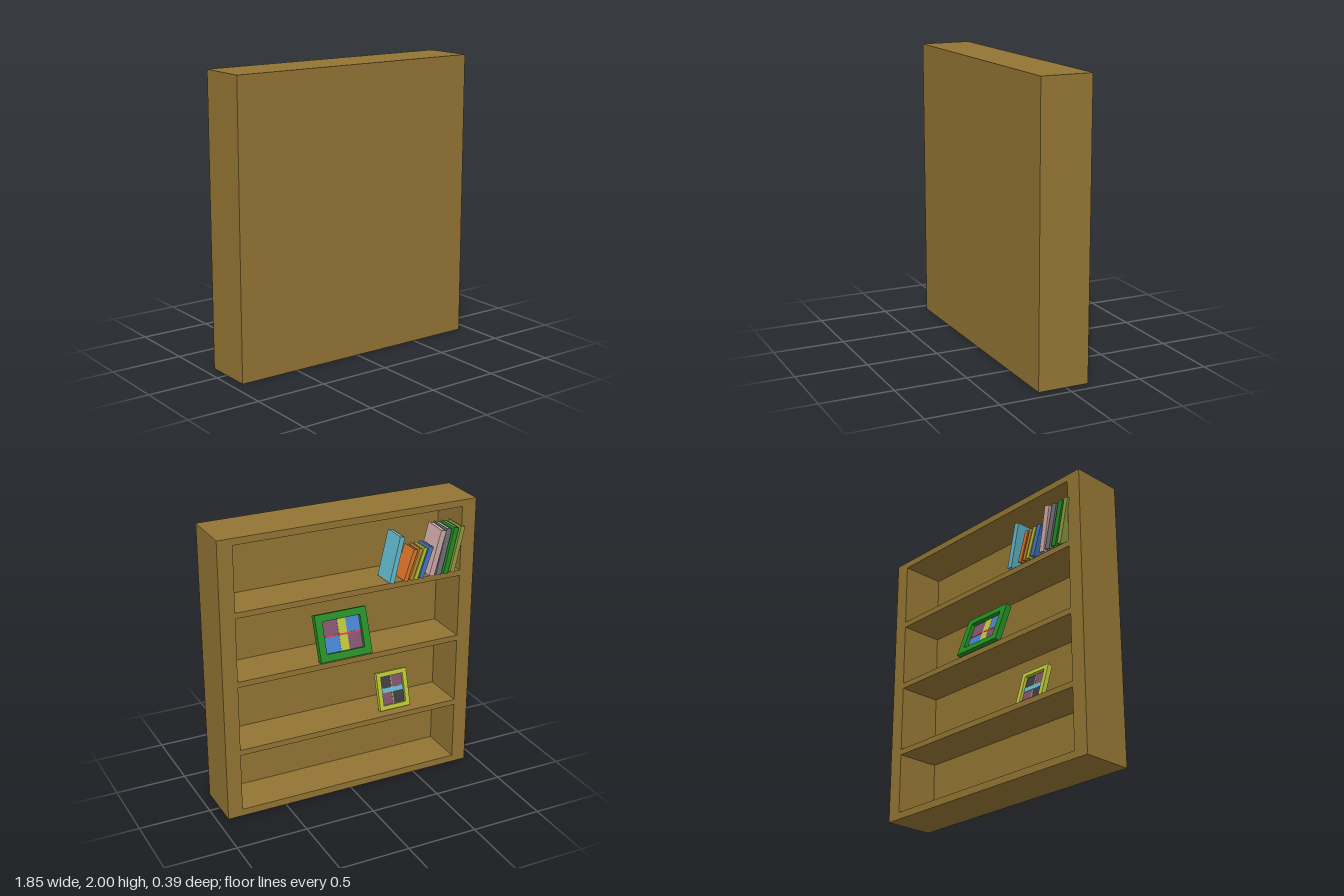
import * as THREE from 'three';

const mat = (color) => new THREE.MeshStandardMaterial({ color, flatShading: true });
const WOOD = mat(0x937433), PAGES = mat(0xd8d8c0);

// Box given by its minimum and maximum corners
function box(parent, name, material, x0, x1, y0, y1, z0, z1) {
  const mesh = new THREE.Mesh(new THREE.BoxGeometry(x1 - x0, y1 - y0, z1 - z0), material);
  mesh.position.set((x0 + x1) / 2, (y0 + y1) / 2, (z0 + z1) / 2);
  mesh.name = name;
  parent.add(mesh);
  return mesh;
}

// Hardback standing on its lower edge, spine towards -z, leaning towards -x
function makeBook({ x, w, h, d, z, lean, pitch = 0, color }, floor) {
  const book = new THREE.Group();
  book.name = 'book';
  const cover = mat(color), c = 0.005;
  box(book, 'bookCover', cover, -c, 0, 0, h, 0, d);
  box(book, 'bookCover', cover, -w, -w + c, 0, h, 0, d);
  box(book, 'bookSpine', cover, -w + c, -c, 0, h, 0, c);
  box(book, 'bookPages', PAGES, -w + c, -c, 0.004, h - 0.004, c, d - 0.004);
  book.position.set(x, floor + w * Math.sin(lean), z);
  book.rotation.set(pitch, 0, lean);
  return book;
}

// Picture frame leaning back towards +z; patches are [x0, x1, y0, y1, color] as fractions of the picture
function makeFrame({ name, x, z, w, h, t, border, lean, color, patches }, floor) {
  const frame = new THREE.Group();
  frame.name = name;
  const shape = new THREE.Shape([[-w / 2, 0], [w / 2, 0], [w / 2, h], [-w / 2, h]].map((p) => new THREE.Vector2(...p)));
  const iw = w / 2 - border;
  shape.holes.push(new THREE.Path([[-iw, border], [-iw, h - border], [iw, h - border], [iw, border]].map((p) => new THREE.Vector2(...p))));
  const rim = new THREE.Mesh(new THREE.ExtrudeGeometry(shape, { depth: t, bevelEnabled: false }), mat(color));
  rim.name = 'frameRim';
  frame.add(rim);
  box(frame, 'frameBacking', mat(color), -iw, iw, border, h - border, t * 0.75, t);
  const ih = h - 2 * border;
  patches.forEach(([x0, x1, y0, y1, c], i) => {
    // Fractions run from the viewer's left, which is +x seen from this side
    box(frame, 'picturePatch', mat(c), iw - x1 * 2 * iw, iw - x0 * 2 * iw,
      border + y0 * ih, border + y1 * ih, t * 0.62 - i * 0.0006, t * 0.8);
  });
  frame.position.set(x, floor + t * Math.sin(lean), z);
  frame.rotation.x = lean;
  return frame;
}

export function createModel() {
  const model = new THREE.Group();
  model.name = 'bookcase';

  // Case
  const X = 0.925, XI = 0.82, Z0 = -0.16, Z1 = 0.195, ZB = 0.15;
  for (const s of [-1, 1]) {
    box(model, 'sidePanel', WOOD, Math.min(s * X, s * XI), Math.max(s * X, s * XI), 0, 2, Z0, Z1);
  }
  box(model, 'backPanel', WOOD, -XI, XI, 0, 2, ZB, Z1);
  box(model, 'topBoard', WOOD, -XI, XI, 1.953, 2, Z0, ZB);
  box(model, 'bottomBoard', WOOD, -XI, XI, 0, 0.05, Z0, ZB);
  const shelfTops = [0.508, 1.013, 1.5];
  for (const y of shelfTops) box(model, 'shelf', WOOD, -XI, XI, y - 0.04, y, Z0, ZB);

  // Books on the top shelf
  const big = { h: 0.325, d: 0.17, z: -0.178, lean: 0.23 };
  const small = { h: 0.225, d: 0.13, z: -0.183, lean: 0.33 };
  const books = [
    { ...big, x: -0.27, w: 0.036, color: 0x62b8cc },
    { ...small, x: -0.375, w: 0.03, color: 0xd87428 },
    { ...small, x: -0.418, w: 0.026, color: 0xb8862c },
    { ...small, x: -0.452, w: 0.026, color: 0xb9c137 },
    { ...small, x: -0.49, w: 0.034, color: 0x4078c0 },
    { ...big, x: -0.57, w: 0.04, pitch: -0.05, color: 0xd0a8a8 },
    { ...big, x: -0.622, w: 0.04, color: 0x707078 },
    { ...big, x: -0.68, w: 0.036, color: 0x228b22 },
    { ...big, x: -0.732, w: 0.032, color: 0x8f9a40 },
  ];
  for (const b of books) model.add(makeBook(b, shelfTops[2]));

  // Framed pictures on the lower shelves
  const MAUVE = 0x80506c, BLUE = 0x4480cc, YELLOW = 0xb9c137, DARK = 0x3c3c40, RED = 0xd03c48, CYAN = 0x62b8cc;
  model.add(makeFrame({
    name: 'largePictureFrame', x: 0.04, z: -0.177, w: 0.38, h: 0.32, t: 0.045, border: 0.05, lean: 0.35, color: 0x228b22,
    patches: [
      [0, 0.42, 0.5, 1, MAUVE], [0, 0.42, 0, 0.5, BLUE],
      [0.64, 1, 0.5, 1, BLUE], [0.64, 1, 0, 0.5, MAUVE],
      [0.42, 0.64, 0, 1, YELLOW], [0, 1, 0.48, 0.53, RED],
    ],
  }, shelfTops[1]));
  model.add(makeFrame({
    name: 'smallPictureFrame', x: -0.375, z: -0.105, w: 0.235, h: 0.27, t: 0.035, border: 0.032, lean: 0.29, color: YELLOW,
    patches: [
      [0, 0.5, 0.5, 1, DARK], [0, 0.5, 0, 0.5, MAUVE],
      [0.5, 1, 0.5, 1, MAUVE], [0.5, 1, 0, 0.5, DARK],
      [0.47, 0.53, 0, 1, 0x9a8a50], [0, 1, 0.42, 0.58, CYAN],
    ],
  }, shelfTops[0]));

  return model;
}
